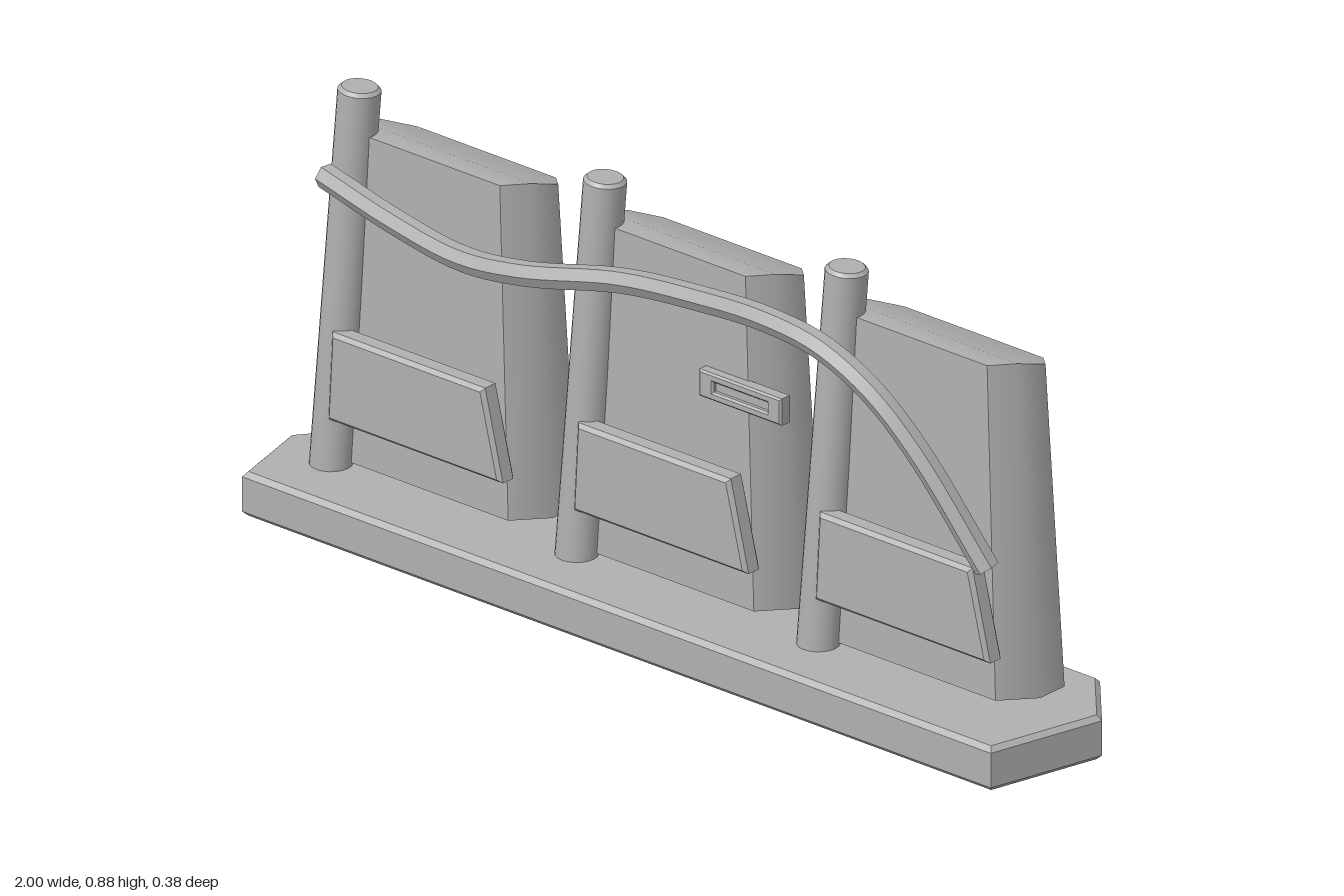
import * as THREE from 'three';
import { toCreasedNormals } from 'three/addons/utils/BufferGeometryUtils.js';

const gray = new THREE.MeshStandardMaterial({ color: 0xb0b0b0 });

function part(name, geometry, crease = 0.4) {
  const mesh = new THREE.Mesh(toCreasedNormals(geometry, crease), gray);
  mesh.name = name;
  return mesh;
}

const shapeFrom = (pts) => new THREE.Shape(pts.map(([x, y]) => new THREE.Vector2(x, y)));

// Bevelled plate whose outer size matches the thickness given
function plate(shape, thickness, bevel) {
  const g = new THREE.ExtrudeGeometry(shape, {
    depth: thickness - 2 * bevel, bevelThickness: bevel, bevelSize: bevel,
    bevelOffset: -bevel, bevelSegments: 1,
  });
  return g.translate(0, 0, bevel);
}

// Tapered eight-sided block; rows of [half width, z] run front to back
function blockGeometry() {
  const bottom = [[0.215, 0.035], [0.27, -0.03], [0.27, -0.1], [0.21, -0.16]];
  const top = [[0.185, 0.025], [0.222, -0.02], [0.222, -0.1], [0.175, -0.147]];
  const topY = (z) => 0.785 + Math.min(0, z + 0.02) * 0.36;
  const pos = [];
  const ring = (rows, height) => {
    rows.forEach(([w, z]) => pos.push(w, height(z), z));
    [...rows].reverse().forEach(([w, z]) => pos.push(-w, height(z), z));
  };
  ring(bottom, () => 0.1);
  ring(top, topY);
  const index = [];
  const quad = (a, b, c, d) => index.push(a, b, c, a, c, d);
  for (let i = 0; i < 8; i++) {
    const j = (i + 1) % 8;
    quad(i, j, j + 8, i + 8);
  }
  for (let k = 0; k < 3; k++) {
    quad(8 + k, 9 + k, 14 - k, 15 - k);
    quad(7 - k, 6 - k, k + 1, k);
  }
  const g = new THREE.BufferGeometry();
  g.setAttribute('position', new THREE.Float32BufferAttribute(pos, 3));
  g.setIndex(index);
  return g;
}

// Leaning round post with a small chamfer at the top
function post() {
  const from = new THREE.Vector3(-0.222, 0.085, 0.047);
  const to = new THREE.Vector3(-0.18, 0.877, 0.012);
  const dir = to.clone().sub(from);
  const h = dir.length();
  const profile = [[0, 0], [0.042, 0], [0.042, h - 0.007], [0.035, h], [0, h]];
  const mesh = part('post', new THREE.LatheGeometry(
    profile.map(([r, y]) => new THREE.Vector2(r, y)), 20), 0.6);
  mesh.position.copy(from);
  mesh.quaternion.setFromUnitVectors(new THREE.Vector3(0, 1, 0), dir.normalize());
  return mesh;
}

export function createModel() {
  const model = new THREE.Group();
  model.name = 'railing';

  // Base slab
  const outline = [[-0.95, -0.19], [0.94, -0.19], [1, 0.06], [0.88, 0.19], [-0.86, 0.185], [-1, 0]];
  model.add(part('base', plate(shapeFrom(outline), 0.092, 0.01).rotateX(-Math.PI / 2)));

  // Three bays, each with a block, a post and a front panel
  [-0.63, -0.01, 0.6].forEach((x) => {
    const bay = new THREE.Group();
    bay.name = 'bay';
    bay.position.x = x;
    const panelShape = shapeFrom([[-0.2, 0.2], [0.24, 0.2], [0.195, 0.385], [-0.19, 0.385]]);
    const panel = part('frontPanel', plate(panelShape, 0.045, 0.008));
    panel.position.z = 0.041;
    bay.add(part('block', blockGeometry(), 0.85), post(), panel);
    model.add(bay);
  });

  // Wavy handrail
  const path = new THREE.CatmullRomCurve3([
    [-0.825, 0.715, 0.095], [-0.62, 0.685, 0.118], [-0.44, 0.672, 0.135], [-0.28, 0.692, 0.14],
    [-0.05, 0.74, 0.12], [0.15, 0.765, 0.124], [0.33, 0.78, 0.136], [0.47, 0.765, 0.138],
    [0.59, 0.705, 0.13], [0.69, 0.6, 0.11], [0.825, 0.39, 0.07],
  ].map((p) => new THREE.Vector3(...p)));
  model.add(part('handrail', new THREE.TubeGeometry(path, 60, 0.025, 6, false)));

  // Caps closing the rail ends
  [0, 1].forEach((t) => {
    const cap = part('handrailCap', new THREE.CircleGeometry(0.024, 6));
    const p = path.getPointAt(t);
    cap.position.copy(p);
    cap.lookAt(p.add(path.getTangentAt(t).multiplyScalar(t ? 1 : -1)));
    model.add(cap);
  });

  // Small slotted plate on the middle block
  const rect = (w, h) => [[-w, -h], [w, -h], [w, h], [-w, h]];
  const frame = shapeFrom(rect(0.104, 0.028));
  frame.holes.push(shapeFrom(rect(0.068, 0.01)));
  const slotPlate = new THREE.Group();
  slotPlate.name = 'slotPlate';
  slotPlate.position.set(0.182, 0.543, 0.02);
  const rim = part('slotRim', plate(frame, 0.03, 0.004));
  const back = part('slotBack', new THREE.BoxGeometry(0.16, 0.03, 0.015));
  back.position.z = 0.012;
  slotPlate.add(rim, back);
  model.add(slotPlate);

  return model;
}
